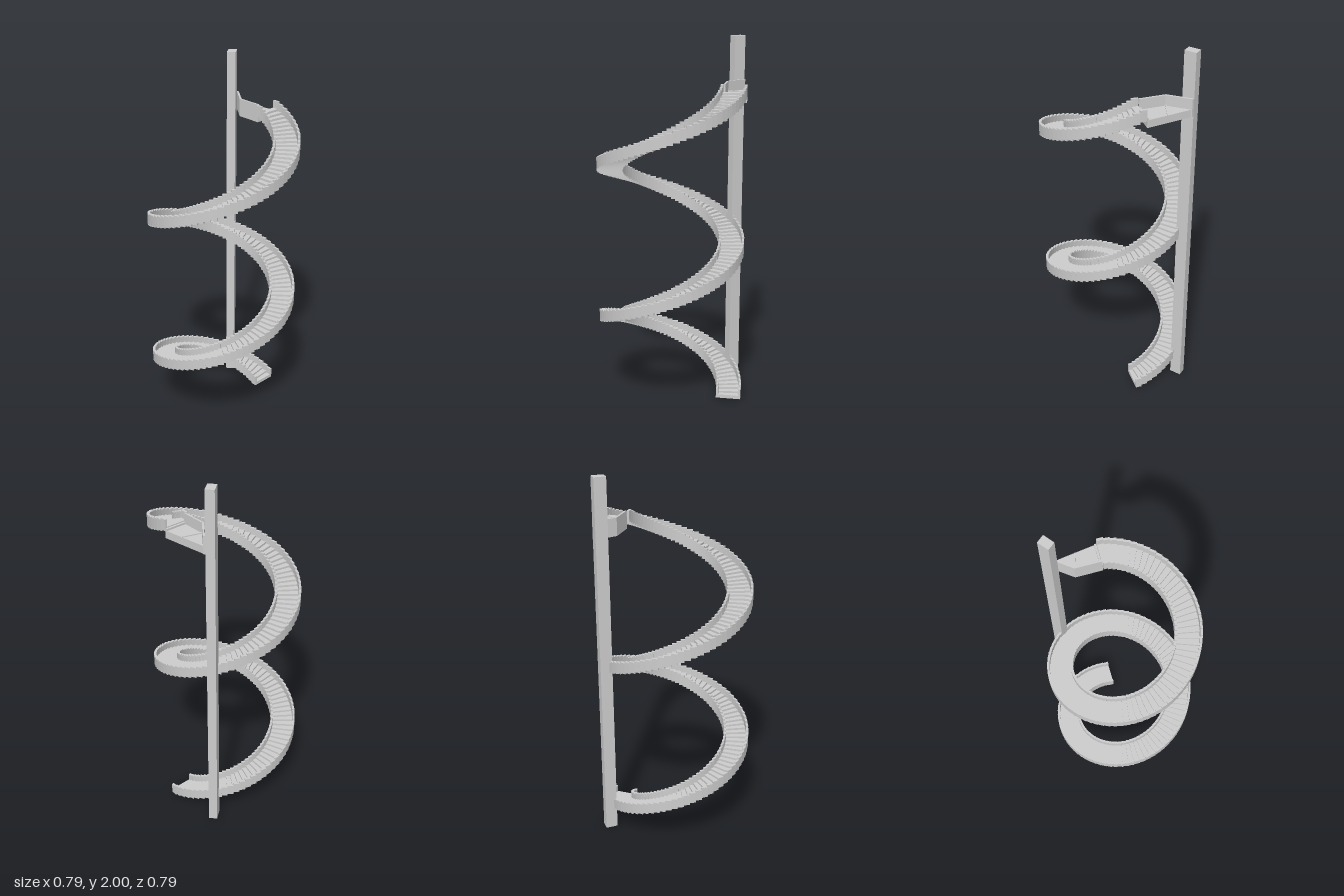
import * as THREE from 'three';

const concrete = new THREE.MeshStandardMaterial({ color: 0xcccccc });
concrete.name = 'pale grey';

// U-shaped stair segment: tread between two low parapets, x is the radius
function segmentGeometry() {
  const inner = 0.257, outer = 0.394, wall = 0.0125, height = 0.06, tread = 0.02, depth = 0.034;
  const profile = new THREE.Shape([
    [inner, 0], [outer, 0], [outer, height], [outer - wall, height],
    [outer - wall, tread], [inner + wall, tread], [inner + wall, height], [inner, height],
  ].map(([x, y]) => new THREE.Vector2(x, y)));
  const geo = new THREE.ExtrudeGeometry(profile, { depth, bevelEnabled: false });
  geo.translate(0, 0, -depth / 2);
  geo.rotateY(Math.PI / 2);
  return geo;
}

// Upright prism over a plan outline given as [x, z] points
function prism(name, plan, bottom, top) {
  const shape = new THREE.Shape(plan.map(([x, z]) => new THREE.Vector2(x, -z)));
  const geo = new THREE.ExtrudeGeometry(shape, { depth: top - bottom, bevelEnabled: false });
  geo.rotateX(-Math.PI / 2);
  geo.translate(0, bottom, 0);
  const mesh = new THREE.Mesh(geo, concrete);
  mesh.name = name;
  return mesh;
}

export function createModel() {
  const model = new THREE.Group();
  model.name = 'spiralStair';

  // Two turns of identical segments climbing around the open centre
  const stair = new THREE.Group();
  stair.name = 'stairFlight';
  const geo = segmentGeometry();
  const perTurn = 75, turns = 2, risePerTurn = 0.845;
  for (let i = 0; i <= perTurn * turns; i++) {
    const step = new THREE.Mesh(geo, concrete);
    step.name = 'stairSegment';
    step.rotation.y = (i / perTurn) * Math.PI * 2;
    step.position.y = 0.02 + (i / perTurn) * risePerTurn;
    stair.add(step);
  }
  model.add(stair);

  // Tall post standing beside the flight
  model.add(prism('post', [[-0.3, -0.325], [-0.26, -0.275], [-0.225, -0.305], [-0.265, -0.355]], 0, 2));

  // Landing tapering from the top step to the post
  const landing = new THREE.Group();
  landing.name = 'landing';
  landing.add(
    prism('landingSlab', [[-0.018, -0.393], [-0.125, -0.377], [-0.265, -0.355], [-0.155, -0.27], [-0.018, -0.27]], 1.675, 1.715),
    prism('landingParapet', [[-0.018, -0.27], [-0.018, -0.28], [-0.151, -0.28], [-0.255, -0.36], [-0.265, -0.355], [-0.155, -0.27]], 1.675, 1.77),
    prism('landingFoldRib', [[-0.122, -0.376], [-0.128, -0.375], [-0.158, -0.275], [-0.15, -0.275]], 1.71, 1.72),
    prism('landingThreshold', [[-0.018, -0.392], [-0.028, -0.391], [-0.028, -0.275], [-0.018, -0.275]], 1.71, 1.725),
  );
  model.add(landing);

  return model;
}
